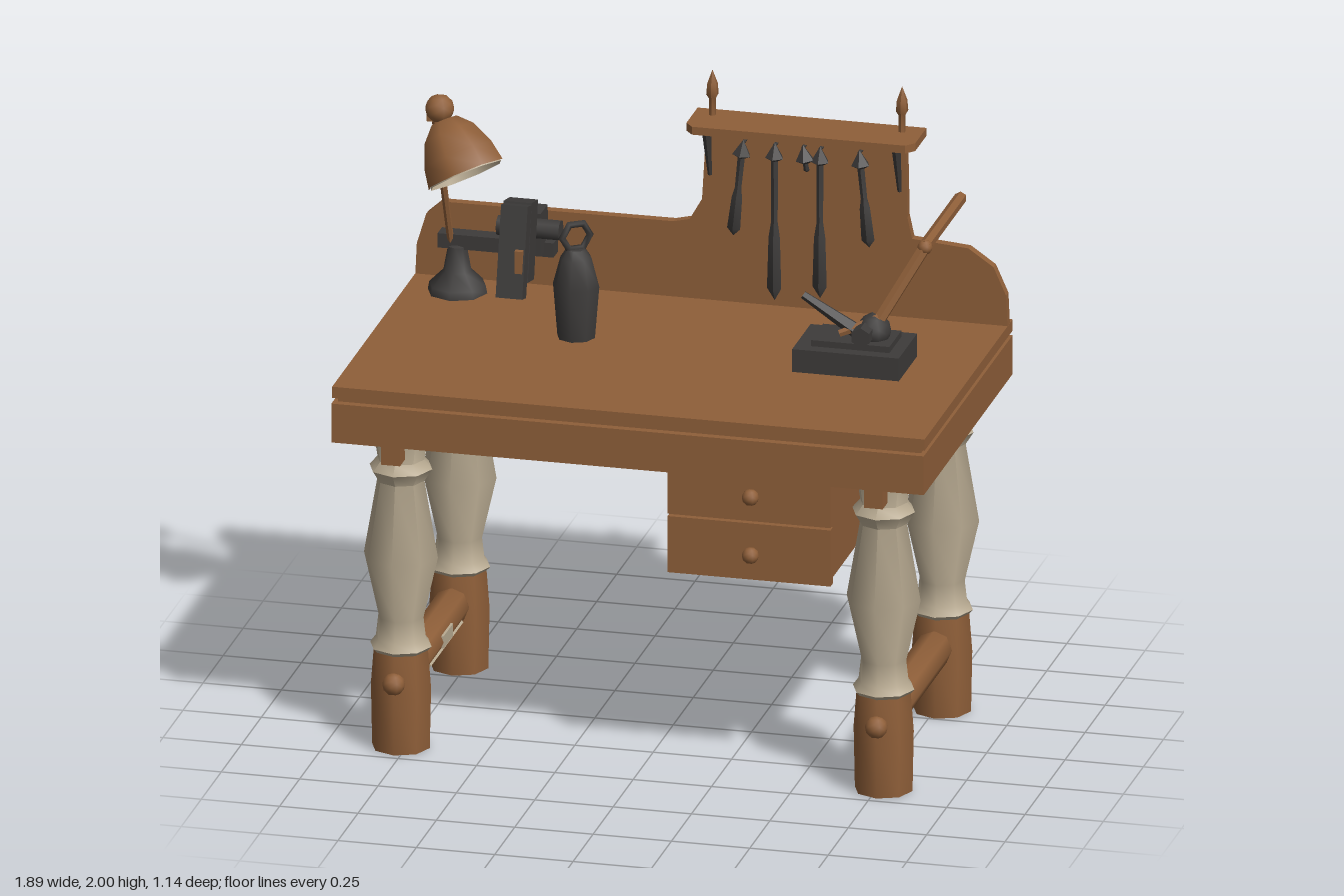
import * as THREE from 'three';
import { toCreasedNormals } from 'three/addons/utils/BufferGeometryUtils.js';

const mat = (name, color, side = THREE.FrontSide) => {
  const m = new THREE.MeshStandardMaterial({ color, side });
  m.name = name;
  return m;
};

export function createModel() {
  const root = new THREE.Group();
  root.name = 'workbench';
  const wood = mat('brown wood', 0x8f5f39);
  const cream = mat('cream paint', 0xb9ab92, THREE.DoubleSide);
  const iron = mat('dark iron', 0x3d3b3a);

  const add = (name, geo, m, x = 0, y = 0, z = 0) => {
    const mesh = new THREE.Mesh(geo, m);
    mesh.name = name;
    mesh.position.set(x, y, z);
    root.add(mesh);
    return mesh;
  };
  // box given by its limits on each axis
  const box = (name, m, x0, x1, y0, y1, z0, z1) =>
    add(name, new THREE.BoxGeometry(x1 - x0, y1 - y0, z1 - z0), m, (x0 + x1) / 2, (y0 + y1) / 2, (z0 + z1) / 2);
  // tapered rod between two points
  const rod = (name, m, a, b, ra, rb = ra, sides = 6, open = false) => {
    const p = new THREE.Vector3(...a), q = new THREE.Vector3(...b);
    const d = q.clone().sub(p);
    const geo = new THREE.CylinderGeometry(rb, ra, d.length(), sides, 1, open);
    const mesh = add(name, toCreasedNormals(geo, 0.9), m);
    mesh.position.copy(p).add(q).multiplyScalar(0.5);
    mesh.quaternion.setFromUnitVectors(new THREE.Vector3(0, 1, 0), d.normalize());
    return mesh;
  };
  const lathe = (name, m, pts, x, y, z, sides = 8) =>
    add(name, toCreasedNormals(new THREE.LatheGeometry(pts.map(p => new THREE.Vector2(...p)), sides), 0.9), m, x, y, z);
  const knob = (name, m, x, y, z, r) => add(name, new THREE.IcosahedronGeometry(r, 1), m, x, y, z);

  // Table top, shadow groove and apron slab
  box('tableTop', wood, -0.945, 0.945, 1.193, 1.23, -0.54, 0.56);
  box('topGroove', wood, -0.93, 0.93, 1.17, 1.195, -0.525, 0.545);
  box('apron', wood, -0.945, 0.945, 1.05, 1.178, -0.54, 0.57);

  // Backboard with raised tool panel
  const s = new THREE.Shape();
  s.moveTo(-0.945, 1.22);
  [[0.945, 1.22], [0.94, 1.33], [0.9, 1.42], [0.82, 1.475], [0.64, 1.49], [0.625, 1.56], [0.62, 1.82],
    [-0.015, 1.82], [-0.03, 1.56], [-0.07, 1.49], [-0.12, 1.478], [-0.86, 1.475], [-0.91, 1.43], [-0.94, 1.33]]
    .forEach(p => s.lineTo(...p));
  add('backboard', new THREE.ExtrudeGeometry(s, { depth: 0.03, bevelEnabled: false }), wood, 0, 0, -0.507);

  // Shelf above the tools, with chamfered front corners
  const shelf = new THREE.Shape();
  shelf.moveTo(-0.06, 0.54);
  [[-0.06, 0.4], [-0.035, 0.37], [0.645, 0.37], [0.67, 0.4], [0.67, 0.54]].forEach(p => shelf.lineTo(...p));
  add('toolShelf', new THREE.ExtrudeGeometry(shelf, { depth: 0.026, bevelEnabled: false }), wood, 0, 1.81, 0)
    .rotation.x = -Math.PI / 2;
  for (const x of [0, 0.605]) {
    lathe('finial', wood, [[0, 0], [0.011, 0], [0.011, 0.06], [0.02, 0.075], [0.017, 0.11], [0, 0.155]], x, 1.83, -0.49, 6);
    rod('shelfBracket', iron, [x, 1.65, -0.46], [x, 1.81, -0.42], 0.007, 0.016, 5);
  }

  // Hanging tools: x, bottom height, lower half width, tilt
  for (const [x, y0, w, tilt] of [[0.11, 1.46, 0.022, 0.1], [0.21, 1.26, 0.024, 0], [0.3, 1.69, 0.01, -0.15],
    [0.355, 1.28, 0.024, 0], [0.48, 1.46, 0.022, -0.1]]) {
    const h = 1.78 - y0;
    const tool = lathe('hangingTool', iron,
      [[0, -h], [w, -h * 0.92], [w * 0.8, -h * 0.6], [0.011, -h * 0.5], [0.012, -0.06], [0.03, -0.05], [0, 0]],
      x, 1.78, -0.445, 5);
    tool.rotation.z = -tilt;
    rod('toolHook', iron, [x, 1.77, -0.445], [x, 1.77, -0.48], 0.006, 0.006, 5);
  }

  // Turned legs with fittings, mirrored to both sides
  for (const x of [-0.77, 0.77]) {
    const inward = -Math.sign(x);
    for (const [z, out] of [[0.385, 1], [-0.345, -1]]) {
      lathe('legFoot', wood, [[0, 0], [0.092, 0], [0.096, 0.2], [0.085, 0.34], [0, 0.34]], x, 0, z, 8);
      lathe('turnedLeg', cream, [[0.08, 0.315], [0.098, 0.335], [0.08, 0.36], [0.072, 0.43], [0.118, 0.63],
        [0.075, 0.88], [0.1, 0.92], [0.075, 0.95], [0.092, 1.055]], x, 0, z, 8);
      knob('railPeg', wood, x, 0.235, z + out * 0.092, 0.036);
      box('legTab', wood, x - 0.03, x + 0.03, 0.97, 1.06, z + out * 0.1 - 0.03, z + out * 0.1 + 0.03);
    }
    // side rail with rounded ends and worn underside
    const rail = lathe('sideRail', wood, [[0, -0.32], [0.035, -0.32], [0.058, -0.26], [0.058, 0.26], [0.035, 0.32], [0, 0.32]],
      x, 0.235, 0.02, 8);
    rail.rotation.x = Math.PI / 2;
    const strip = box('railStrip', cream, -0.02, 0.02, -0.004, 0.004, -0.2, 0.2);
    strip.position.set(x + inward * 0.038, 0.235 - 0.038, 0.02);
    strip.rotation.z = inward * Math.PI / 4;
    box('railPatch', cream, x + inward * 0.054 - 0.004, x + inward * 0.054 + 0.004, 0.215, 0.255, -0.04, 0.08);
    rod('braceRod', iron, [x, 1.0, -0.3], [x, 1.0, 0.33], 0.012);
    box('undersidePanel', cream, x - 0.06, x + 0.06, 1.043, 1.051, -0.2, 0.24);
  }

  // Drawer cabinet
  box('drawerCabinet', wood, 0.105, 0.61, 0.685, 1.06, -0.14, 0.43);
  for (const [y0, y1] of [[0.675, 0.86], [0.868, 1.05]]) {
    box('drawerFront', wood, 0.097, 0.617, y0, y1, 0.42, 0.45);
    rod('knobStem', wood, [0.37, (y0 + y1) / 2, 0.44], [0.37, (y0 + y1) / 2, 0.48], 0.013);
    knob('drawerKnob', wood, 0.37, (y0 + y1) / 2, 0.485, 0.027);
  }

  // Desk lamp
  lathe('lampBase', iron, [[0, 0], [0.095, 0], [0.09, 0.025], [0.045, 0.07], [0.03, 0.15], [0, 0.16]], -0.78, 1.23, -0.36);
  rod('lampLowerArm', wood, [-0.8, 1.38, -0.36], [-0.81, 1.87, -0.19], 0.011);
  box('lampElbow', wood, -0.83, -0.785, 1.855, 1.9, -0.21, -0.165);
  rod('lampUpperArm', wood, [-0.81, 1.88, -0.19], [-0.75, 1.96, -0.03], 0.011);
  knob('lampJoint', wood, -0.75, 1.957, -0.02, 0.046);
  const shade = new THREE.Group();
  shade.name = 'lampShade';
  const profile = [[0.13, -0.215], [0.118, -0.15], [0.085, -0.075], [0.045, -0.035], [0, -0.03]];
  const outer = lathe('shadeOuter', wood, profile, 0, 0, 0);
  const inner = lathe('shadeInner', cream, profile.map(([r, y]) => [r * 0.95, y - 0.003]), 0, 0, 0);
  shade.add(outer, inner);
  shade.position.set(-0.75, 1.95, -0.02);
  shade.quaternion.setFromUnitVectors(new THREE.Vector3(0, -1, 0), new THREE.Vector3(0.1, -0.18, 0.065).normalize());
  root.add(shade);

  // Bench vice
  box('viceArm', iron, -0.84, -0.47, 1.373, 1.42, -0.4, -0.345);
  box('viceBlock', iron, -0.59, -0.5, 1.39, 1.53, -0.39, -0.3);
  box('viceSlide', iron, -0.57, -0.52, 1.43, 1.48, -0.47, -0.14);
  rod('viceScrew', iron, [-0.63, 1.49, -0.28], [-0.43, 1.49, -0.28], 0.033, 0.033, 8);
  box('viceRearJaw', iron, -0.59, -0.5, 1.35, 1.6, -0.245, -0.165).rotation.x = -0.2;
  box('viceFrontJaw', iron, -0.585, -0.5, 1.32, 1.61, -0.155, -0.105).rotation.x = -0.24;
  box('viceHandle', wood, -0.53, -0.505, 1.34, 1.48, -0.108, -0.09);

  // Iron bottle with a ring handle
  lathe('bottle', iron, [[0, 0], [0.06, 0], [0.074, 0.17], [0.05, 0.26], [0.03, 0.29], [0, 0.29]], -0.325, 1.23, -0.06);
  add('bottleRing', new THREE.TorusGeometry(0.046, 0.012, 5, 6), iron, -0.325, 1.56, -0.06).rotation.y = 0.6;

  // Iron press with a bent pipe handle
  box('pressBase', iron, 0.4, 0.74, 1.23, 1.305, -0.15, 0.08);
  box('pressPlate', iron, 0.45, 0.7, 1.3, 1.325, -0.11, 0.04);
  knob('pressPivot', iron, 0.63, 1.345, -0.04, 0.055);
  rod('pressBlade', iron, [0.41, 1.45, -0.02], [0.6, 1.335, -0.02], 0.013, 0.026, 5);
  rod('pressHead', iron, [0.61, 1.35, -0.1], [0.61, 1.35, 0.05], 0.032);
  rod('pipeFoot', wood, [0.53, 1.34, 0.0], [0.65, 1.385, -0.04], 0.012, 0.02);
  rod('pipeRise', wood, [0.65, 1.385, -0.04], [0.77, 1.6, -0.13], 0.02);
  knob('pipeBend', wood, 0.77, 1.6, -0.13, 0.024);
  rod('pipeRun', wood, [0.77, 1.603, -0.12], [0.77, 1.603, -0.575], 0.02);

  return root;
}
